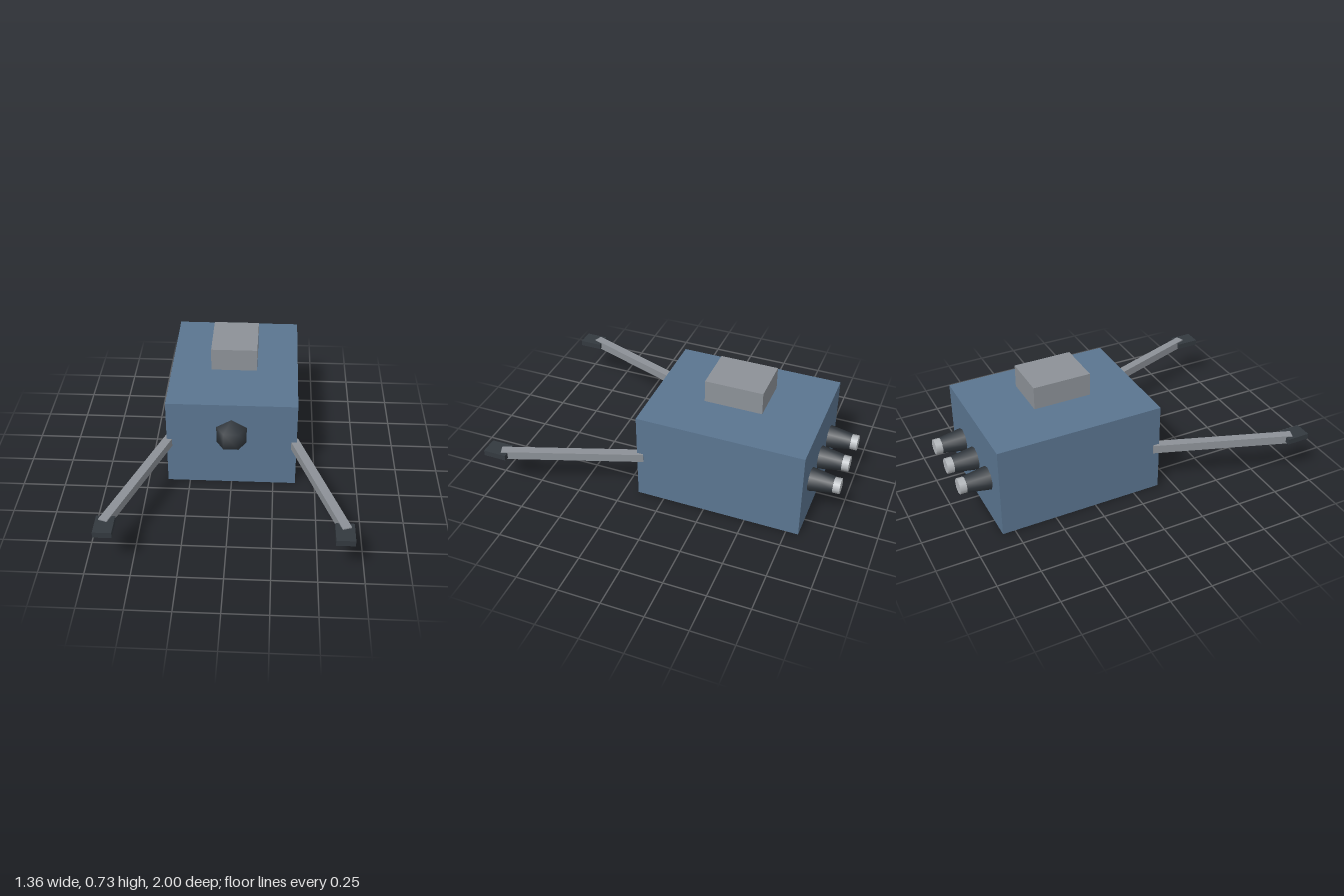
import * as THREE from 'three';

const material = (name, color) => {
  const m = new THREE.MeshStandardMaterial({ color });
  m.name = name;
  return m;
};

export function createModel() {
  const blue = material('steel blue', 0x5a7590);
  const grey = material('grey', 0x8c9197);
  const dark = material('charcoal', 0x33393f);
  const light = material('light grey', 0xb2b6ba);

  const model = new THREE.Group();
  model.name = 'probe';

  const add = (name, geometry, mat, x, y, z) => {
    const mesh = new THREE.Mesh(geometry, mat);
    mesh.name = name;
    mesh.position.set(x, y, z);
    model.add(mesh);
    return mesh;
  };

  // Main hull and the block floating above it
  add('body', new THREE.BoxGeometry(0.766, 0.55, 0.985), blue, 0, 0.275, -0.33);
  add('topBlock', new THREE.BoxGeometry(0.274, 0.137, 0.342), grey, 0, 0.66, -0.33);

  // Faceted eye half sunk in the front face
  add('frontSensor', new THREE.SphereGeometry(0.103, 6, 3), dark, 0, 0.346, 0.163);

  // Splayed arms with flat claws
  for (const [side, s] of [['left', 1], ['right', -1]]) {
    const arm = add(side + 'Arm', new THREE.BoxGeometry(0.051, 0.051, 0.824), grey, s * 0.504, 0.277, 0.518);
    arm.rotation.y = s * 0.34;
    add(side + 'Claw', new THREE.BoxGeometry(0.102, 0.034, 0.137), dark, s * 0.631, 0.279, 0.9315);
  }

  // Three tapered thrusters with pale tips, pointing backwards
  const nozzle = new THREE.CylinderGeometry(0.069, 0.048, 0.137, 8).rotateX(Math.PI / 2);
  const tip = new THREE.CylinderGeometry(0.046, 0.046, 0.06, 8).rotateX(Math.PI / 2);
  [-0.206, 0, 0.206].forEach((x, i) => {
    add('thruster' + (i + 1), nozzle, dark, x, 0.275, -0.8915);
    add('thrusterTip' + (i + 1), tip, light, x, 0.275, -0.97);
  });

  return model;
}
